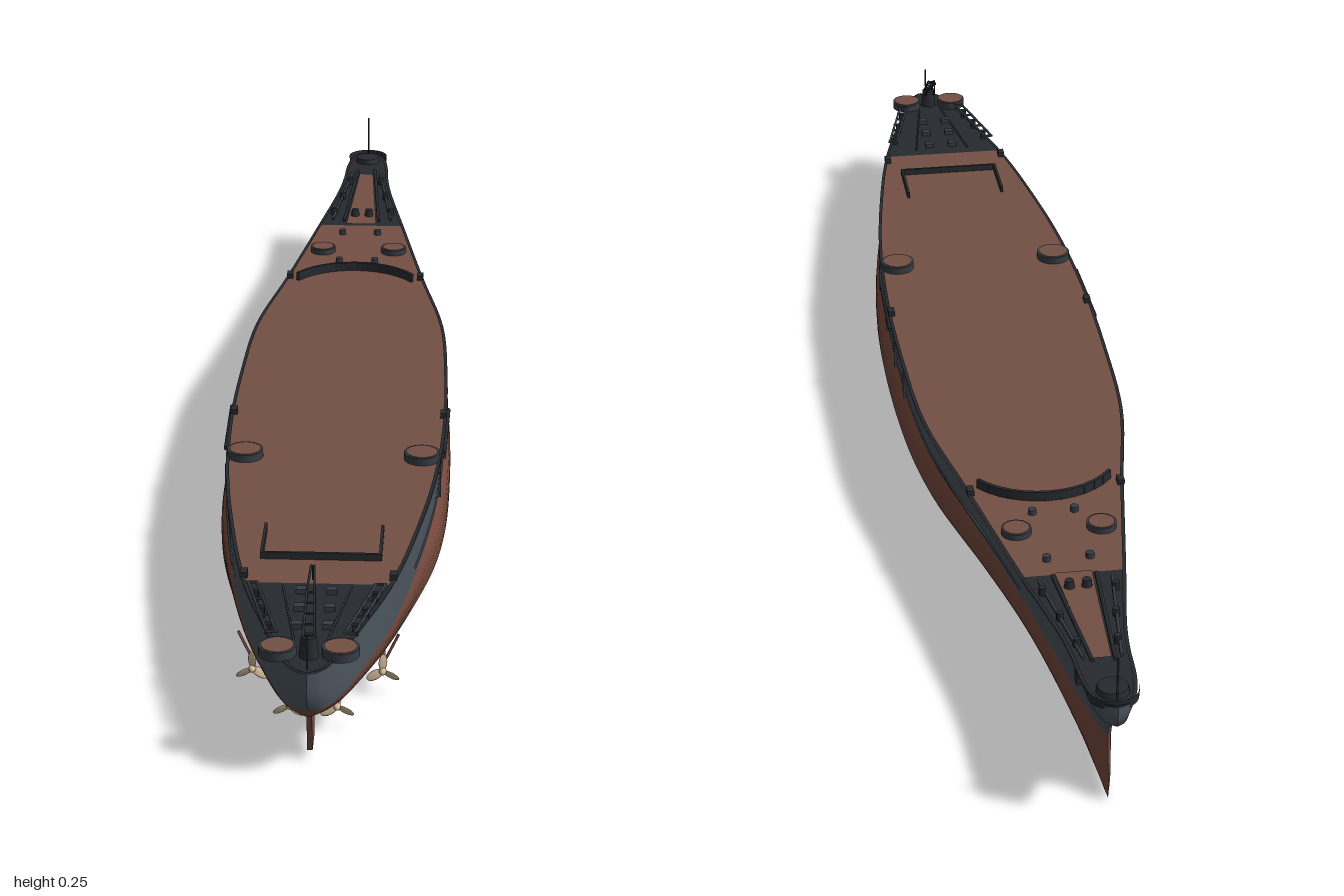
import * as THREE from 'three';

const V = (x, y, z) => new THREE.Vector3(x, y, z);
const mat = (name, color, side = THREE.FrontSide) =>
  Object.assign(new THREE.MeshStandardMaterial({ color, side }), { name });

// Smooth curve through [position, value] pairs
function curve(table) {
  const slope = (i) => {
    const a = table[Math.max(0, i - 1)], b = table[Math.min(table.length - 1, i + 1)];
    return (b[1] - a[1]) / (b[0] - a[0]);
  };
  return (p) => {
    const q = Math.min(Math.max(p, table[0][0]), table[table.length - 1][0]);
    let i = 0;
    while (i < table.length - 2 && q > table[i + 1][0]) i++;
    const [x0, y0] = table[i], [x1, y1] = table[i + 1], h = x1 - x0, t = (q - x0) / h;
    const t2 = t * t, t3 = t2 * t;
    return (2 * t3 - 3 * t2 + 1) * y0 + (t3 - 2 * t2 + t) * h * slope(i)
      + (3 * t2 - 2 * t3) * y1 + (t3 - t2) * h * slope(i + 1);
  };
}

// Hull lines along the length: bow at -z, stern at +z
const WATER = 0.095, Z0 = -0.93, Z1 = 0.98;
const deckHalf = curve([[-0.93, 0], [-0.927, 0.015], [-0.918, 0.027], [-0.895, 0.036], [-0.85, 0.04], [-0.78, 0.05],
  [-0.65, 0.073], [-0.4, 0.115], [-0.2, 0.15], [0, 0.16], [0.2, 0.161], [0.4, 0.15], [0.6, 0.125],
  [0.74, 0.1], [0.86, 0.067], [0.93, 0.043], [0.965, 0.026], [0.977, 0.012], [0.98, 0]]);
const waterHalf = curve([[-0.93, 0], [-0.92, 0.006], [-0.8, 0.028], [-0.6, 0.062], [-0.4, 0.104], [-0.2, 0.147],
  [0, 0.164], [0.25, 0.165], [0.42, 0.155], [0.6, 0.13], [0.75, 0.1], [0.88, 0.062], [0.95, 0.035], [0.975, 0.015], [0.98, 0]]);
const keelY = curve([[-0.93, 0], [0.45, 0], [0.6, 0.008], [0.7, 0.02], [0.8, 0.037], [0.9, 0.058], [0.98, 0.082]]);
const deckY = curve([[-0.93, 0.183], [-0.8, 0.173], [-0.65, 0.164], [-0.4, 0.156], [0, 0.15], [0.6, 0.152], [0.98, 0.155]]);
const fullness = curve([[-0.93, 0.1], [-0.6, 0.35], [-0.3, 0.8], [0, 1], [0.4, 1], [0.65, 0.6], [0.85, 0.3], [0.98, 0.2]]);
const uShape = curve([[0, 0], [0.03, 0.76], [0.12, 0.88], [0.35, 0.985], [0.6, 1], [0.82, 0.99], [1, 0.93]]);
const vShape = curve([[0, 0], [0.03, 0.22], [0.12, 0.42], [0.35, 0.7], [0.7, 0.9], [1, 1]]);
const stemShift = curve([[0, -0.008], [0.03, -0.01], [0.07, 0], [0.1, 0], [0.12, -0.012], [0.14, -0.042], [0.152, -0.062], [0.19, -0.065]]);
const sternShift = curve([[0.08, -0.005], [0.1, 0.01], [0.12, 0.018], [0.16, 0.02]]);

const columns = [-0.65, 0.74];
for (let i = 0; i <= 80; i++) columns.push(Z0 + (Z1 - Z0) * (1 - Math.cos(Math.PI * i / 80)) / 2);
columns.sort((a, b) => a - b);

const shiftZ = (z, y) => z + stemShift(y) * Math.max(0, (-0.8 - z) / 0.13) ** 2
  + sternShift(y) * Math.max(0, (z - 0.88) / 0.1) ** 2;
const lowerX = (z, s) => Math.max(0, waterHalf(z)) * THREE.MathUtils.lerp(vShape(s), uShape(s), fullness(z));
function lowerPoint(z, s) {
  const y = THREE.MathUtils.lerp(keelY(z), WATER, s);
  return V(lowerX(z, s), y, shiftZ(z, y));
}
function upperPoint(z, s) {
  const y = THREE.MathUtils.lerp(WATER, deckY(z), s);
  return V(THREE.MathUtils.lerp(lowerX(z, 1), Math.max(0, deckHalf(z)), s ** (z < -0.4 ? 1.3 : 0.8)), y, shiftZ(z, y));
}

// Surface from columns along z and rows given by a point rule
function grid(cols, rows, point, flip = false) {
  const pos = [], index = [];
  cols.forEach((z) => rows.forEach((r) => pos.push(...point(z, r).toArray())));
  const n = rows.length;
  for (let i = 0; i < cols.length - 1; i++) for (let j = 0; j < n - 1; j++) {
    const a = i * n + j, b = a + 1, c = a + n, d = c + 1;
    index.push(...(flip ? [a, c, b, b, c, d] : [a, b, c, b, d, c]));
  }
  const g = new THREE.BufferGeometry();
  g.setAttribute('position', new THREE.Float32BufferAttribute(pos, 3));
  g.setIndex(index);
  g.computeVertexNormals();
  return g;
}

export function createModel() {
  const model = new THREE.Group();
  model.name = 'shipHull';
  const red = mat('antifoulingRed', 0x75493d), grey = mat('hullGrey', 0x4b545e), deckMat = mat('deckBrown', 0x734f44);
  const dark = mat('darkSteel', 0x262a2f, THREE.DoubleSide), bronze = mat('propellerBronze', 0xcdb594);
  const fitting = mat('fittingGrey', 0x363d45);

  const add = (name, geo, m, x = 0, y = 0, z = 0) => {
    const mesh = new THREE.Mesh(geo, m);
    mesh.name = name;
    mesh.position.set(x, y, z);
    model.add(mesh);
    return mesh;
  };
  const box = (name, m, w, h, d, x, y, z) => add(name, new THREE.BoxGeometry(w, h, d), m, x, y, z);
  const rod = (name, m, a, b, r) => {
    const mesh = add(name, new THREE.CylinderGeometry(r, r, a.distanceTo(b), 6), m);
    mesh.position.copy(a).lerp(b, 0.5);
    mesh.quaternion.setFromUnitVectors(V(0, 1, 0), b.clone().sub(a).normalize());
    return mesh;
  };
  // Thin upright wall along a path of deck points
  const wall = (name, m, pts, h, t) => pts.slice(1).forEach((b, i) => {
    const a = pts[i], mid = a.clone().lerp(b, 0.5);
    box(name, m, t, h, a.distanceTo(b) + t, mid.x, mid.y + h / 2, mid.z).lookAt(b.x, b.y + h / 2, b.z);
  });
  const onDeck = (x, z) => V(x, deckY(z), z);

  // Hull shell
  const lowRows = [0, 0.015, 0.03, 0.07, 0.12, 0.2, 0.3, 0.4, 0.55, 0.7, 0.82, 0.92, 1];
  const upRows = [0, 0.1, 0.2, 0.35, 0.5, 0.65, 0.8, 0.9, 1];
  for (const s of [1, -1]) {
    const side = (f) => (z, r) => f(z, r).multiply(V(s, 1, 1));
    add('lowerHull', grid(columns, lowRows, side(lowerPoint), s < 0), red);
    add('upperHull', grid(columns, upRows, side(upperPoint), s < 0), grey);
    // Dark gunwale strip along the deck edge
    add('gunwale', grid(columns, [1, 0], (z, r) => {
      const p = upperPoint(z, 1);
      return V(s * Math.max(0, p.x - 0.005 * (1 - r)), p.y + 0.002, p.z);
    }, s < 0), dark);
    // Side ledge above the bulge
    const ledge = [];
    for (let z = -0.6; z <= 0.61; z += 0.1) ledge.push(upperPoint(z, 0.24).multiply(V(s, 1, 1)));
    add('sideLedge', new THREE.TubeGeometry(new THREE.CatmullRomCurve3(ledge), 40, 0.0025, 5), fitting);
  }

  // Decks
  const deckPart = (name, m, from, to) => add(name, grid(columns.filter((z) => z >= from && z <= to), [1, -1],
    (z, r) => upperPoint(z, 1).multiply(V(r, 1, 1))), m);
  deckPart('foredeck', dark, -1, -0.65);
  deckPart('mainDeck', deckMat, -0.65, 0.74);
  deckPart('aftDeck', dark, 0.74, 1);
  add('foredeckPlanking', grid([-0.88, -0.8, -0.72, -0.65], [1, -1],
    (z, r) => V(r * (0.012 + (z + 0.88) * 0.06), deckY(z) + 0.003, z)), deckMat);

  // Round bow bulwark and jackstaff
  add('bowBulwark', new THREE.CylinderGeometry(0.034, 0.033, 0.014, 24, 1, true, Math.PI / 2, Math.PI), dark, 0, 0.184, -0.958);
  add('bowPlatform', new THREE.CylinderGeometry(0.02, 0.022, 0.008, 16), dark, 0, 0.186, -0.955);
  rod('jackstaff', dark, V(0, 0.18, -0.985), V(0, 0.253, -0.988), 0.0015);
  rod('sternStaff', dark, V(0, 0.15, 0.985), V(0, 0.205, 0.992), 0.0015);

  // Breakwater
  const breakwater = [];
  for (let i = 0; i <= 12; i++) {
    const a = (i / 6 - 1) * 0.95;
    breakwater.push(onDeck(Math.sin(a) * 0.115, -0.445 + 0.115 * (1 - Math.cos(a))));
  }
  wall('breakwater', dark, breakwater, 0.014, 0.005);

  // Low frame on the aft main deck
  wall('hatchCoaming', dark, [onDeck(-0.08, 0.575), onDeck(-0.08, 0.665), onDeck(0.08, 0.665), onDeck(0.08, 0.575)], 0.01, 0.004);

  const tub = (name, x, z, r, h) => {
    const y = deckY(z);
    add(name, new THREE.CylinderGeometry(r, r, h, 28), fitting, x, y + h / 2, z);
    add(name + 'Top', new THREE.CylinderGeometry(r * 0.87, r * 0.87, 0.002, 28), deckMat, x, y + h, z);
  };
  for (const s of [1, -1]) {
    tub('gunTub', s * 0.128, 0.32, 0.026, 0.011);
    tub('foreGunTub', s * 0.06, -0.53, 0.021, 0.009);
    tub('sternGunTub', s * 0.04, 0.945, 0.024, 0.012);

    // Anchor chains, capstans and bollards
    rod('anchorChain', dark, onDeck(s * 0.015, -0.89).add(V(0, 0.005, 0)), onDeck(s * 0.03, -0.66).add(V(0, 0.005, 0)), 0.003);
    rod('chainGuide', fitting, onDeck(s * 0.025, -0.88).add(V(0, 0.004, 0)), onDeck(s * 0.05, -0.67).add(V(0, 0.004, 0)), 0.0025);
    for (const z of [-0.84, -0.77, -0.7]) {
      add('bollard', new THREE.CylinderGeometry(0.005, 0.005, 0.012, 10), dark, s * (deckHalf(z) - 0.014), deckY(z) + 0.006, z);
    }
    add('capstan', new THREE.CylinderGeometry(0.006, 0.008, 0.014, 12), dark, s * 0.012, deckY(-0.69) + 0.007, -0.69);
    for (const z of [-0.61, -0.48]) add('ventilator', new THREE.CylinderGeometry(0.006, 0.006, 0.008, 10), fitting, s * 0.03, deckY(z) + 0.004, z);

    // Anchors
    box('anchor', dark, 0.006, 0.02, 0.014, s * (upperPoint(-0.86, 0.6).x + 0.002), 0.15, upperPoint(-0.86, 0.6).z);

    // Aircraft catapults on trestles
    for (const o of [-0.006, 0.006]) {
      rod('catapultRail', fitting, V(s * 0.084 + o, 0.168, 0.77), V(s * 0.05 + o, 0.168, 0.91), 0.002);
    }
    for (let i = 0; i <= 6; i++) {
      const x = s * (0.084 - 0.034 * i / 6), z = 0.77 + 0.14 * i / 6;
      box('catapultTie', fitting, 0.016, 0.003, 0.003, x, 0.168, z);
      if (i % 2) box('catapultTrestle', dark, 0.008, 0.014, 0.008, x, 0.16, z);
    }
    // Aircraft rails and trolleys
    rod('deckRail', fitting, V(s * 0.045, 0.156, 0.755), V(s * 0.02, 0.156, 0.92), 0.0015);
    for (const z of [0.77, 0.82, 0.87]) box('trolley', fitting, 0.014, 0.007, 0.012, s * 0.02, 0.158, z);

    // Boat booms and ladders on the sides
    const boom = [0.12, 0.28].map((z) => upperPoint(z, 0.88).multiply(V(s, 1, 1)).add(V(s * 0.002, 0, 0)));
    rod('boatBoom', dark, boom[0], boom[1], 0.0035);
    for (const z of [-0.02, 0.08, 0.2, 0.34]) {
      const p = upperPoint(z, 0.5);
      box('sideLadder', fitting, 0.005, 0.045, 0.004, s * (p.x + 0.001), p.y, p.z);
    }
    for (const z of [-0.41, 0.16, 0.72]) box('fairlead', dark, 0.01, 0.008, 0.016, s * (deckHalf(z) - 0.005), deckY(z) + 0.004, z);

    // Shafts, struts and three-bladed propellers
    for (const [x, z] of [[0.031, 0.855], [0.087, 0.755]]) {
      const hub = V(s * x, 0.033, z);
      rod('propellerShaft', red, hub, V(s * x * 0.95, 0.04, z - 0.24), 0.003);
      for (const o of [-0.015, 0.02]) rod('shaftStrut', red, V(s * x, 0.034, z - 0.02), V(s * (x + o), 0.075, z - 0.025), 0.002);
      add('propellerHub', new THREE.SphereGeometry(0.005, 12, 8), bronze, ...hub.toArray()).scale.z = 1.8;
      for (let i = 0; i < 3; i++) {
        const geo = new THREE.SphereGeometry(1, 12, 8).scale(0.0065, 0.0125, 0.0015).rotateY(s * 0.5)
          .translate(0, 0.0125, 0).rotateZ(i * Math.PI * 2 / 3);
        add('propellerBlade', geo, bronze, ...hub.toArray());
      }
    }
  }

  // Keel skeg and rudders, drawn as (z, y) outlines
  const fin = (name, pts, t) => {
    const shape = new THREE.Shape(pts.map(([z, y]) => new THREE.Vector2(-z, y)));
    const geo = new THREE.ExtrudeGeometry(shape, { depth: t, bevelEnabled: false }).translate(0, 0, -t / 2).rotateY(Math.PI / 2);
    add(name, geo, red);
  };
  fin('skeg', [[0.4, 0], [0.805, 0], [0.81, 0.045], [0.6, 0.02], [0.4, 0.004]], 0.012);
  fin('rudder', [[0.895, 0.012], [0.935, 0.012], [0.95, 0.075], [0.885, 0.075]], 0.007);
  fin('foreRudder', [[0.825, 0.022], [0.85, 0.022], [0.855, 0.055], [0.82, 0.055]], 0.006);

  // Lattice stern crane
  add('craneBase', new THREE.CylinderGeometry(0.01, 0.013, 0.03, 12), dark, 0, 0.168, 0.95);
  const tip = V(0, 0.235, 0.855), knee = V(0, 0.222, 0.9);
  for (const x of [-0.007, 0.007]) {
    rod('craneJib', dark, V(x, 0.18, 0.955), V(x * 0.7, knee.y, knee.z), 0.0016);
    rod('craneJib', dark, V(x * 0.7, knee.y, knee.z), V(x * 0.3, tip.y, tip.z), 0.0016);
    rod('craneChord', dark, V(x, 0.18, 0.935), V(x * 0.7, 0.212, 0.893), 0.0012);
  }
  for (let i = 0; i < 5; i++) {
    const y = 0.184 + i * 0.009, z = 0.95 - i * 0.012;
    box('craneLattice', dark, 0.013, 0.002, 0.003, 0, y, z);
  }
  rod('craneCable', dark, tip, V(0, 0.215, 0.855), 0.001);
  return model;
}
